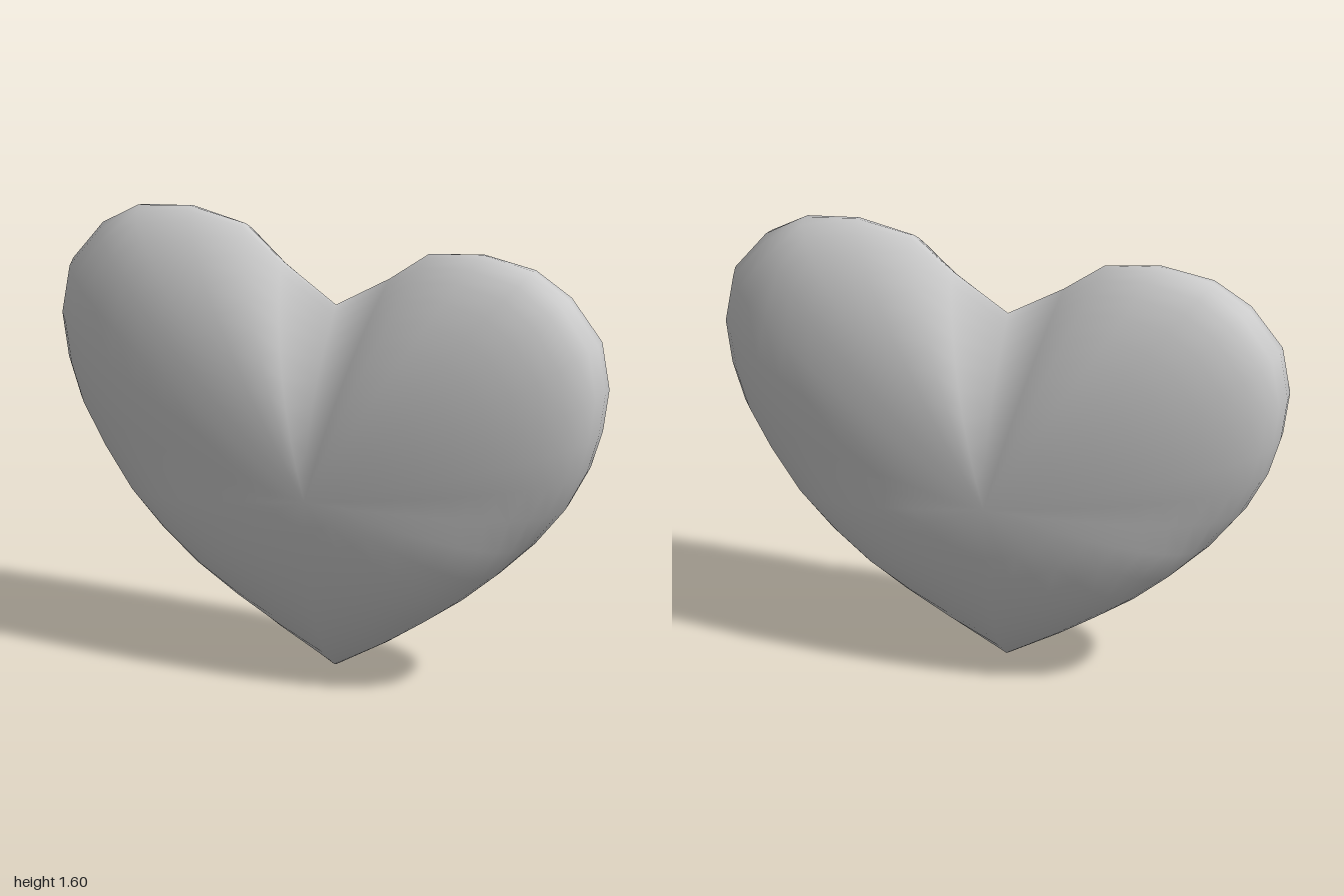
import * as THREE from 'three';

// Half outline from the cleft round the lobe to the tip: x, y, edge sharpness
const HALF = [
  [0, 1.325, 1.05], [0.2, 1.455, 0.86], [0.345, 1.57, 0.73], [0.545, 1.6, 0.62],
  [0.735, 1.57, 0.54], [0.865, 1.485, 0.47], [0.975, 1.335, 0.42], [1, 1.16, 0.4],
  [0.975, 1.0, 0.4], [0.93, 0.86, 0.41], [0.85, 0.71, 0.43], [0.74, 0.57, 0.46],
  [0.61, 0.44, 0.49], [0.48, 0.325, 0.53], [0.34, 0.22, 0.59], [0.19, 0.115, 0.67], [0, 0, 0.75],
];
const CENTRE_Y = 0.7, DEPTH = 0.27, RINGS = 11;

function heartGeometry() {
  // Mirror the half outline into a closed loop
  const loop = [...HALF, ...HALF.slice(1, -1).reverse().map(([x, y, b]) => [-x, y, b])];
  const n = loop.length;
  const pos = [], index = [];

  // Concentric rings from the front centre, over the rim, to the back centre
  pos.push(0, CENTRE_Y, DEPTH);
  for (let r = 1; r < RINGS * 2; r++) {
    const s = r === RINGS ? 1 : Math.sin((r / RINGS) * Math.PI / 2);
    const side = Math.sign(RINGS - r);
    for (const [ox, oy, b] of loop) {
      // Below the centre, inner rings swell towards an ellipse so the tip fades out inwards
      const dy = oy - CENTRE_Y;
      const swell = dy < 0 ? 0.8 * Math.max(0, 1 / Math.hypot(ox, dy / CENTRE_Y) - 1) : 0;
      const k = s * (1 + swell * (1 - s * s));
      const z = side * DEPTH * Math.pow(1 - Math.pow(s, 2.2), b);
      pos.push(k * ox, CENTRE_Y + k * dy, z);
    }
  }
  pos.push(0, CENTRE_Y, -DEPTH);

  const last = pos.length / 3 - 1;
  const at = (r, i) => 1 + (r - 1) * n + (i % n);
  for (let i = 0; i < n; i++) {
    index.push(0, at(1, i + 1), at(1, i));
    for (let r = 1; r < RINGS * 2 - 1; r++) {
      const a = at(r, i), b = at(r, i + 1), c = at(r + 1, i), d = at(r + 1, i + 1);
      index.push(a, b, d, a, d, c);
    }
    index.push(last, at(RINGS * 2 - 1, i), at(RINGS * 2 - 1, i + 1));
  }

  const geometry = new THREE.BufferGeometry();
  geometry.setAttribute('position', new THREE.Float32BufferAttribute(pos, 3));
  geometry.setIndex(index);
  geometry.computeVertexNormals();
  return geometry;
}

export function createModel() {
  const group = new THREE.Group();
  group.name = 'heart';
  const body = new THREE.Mesh(heartGeometry(), new THREE.MeshStandardMaterial({ color: 0xcccccc }));
  body.name = 'heartBody';
  group.add(body);
  return group;
}
